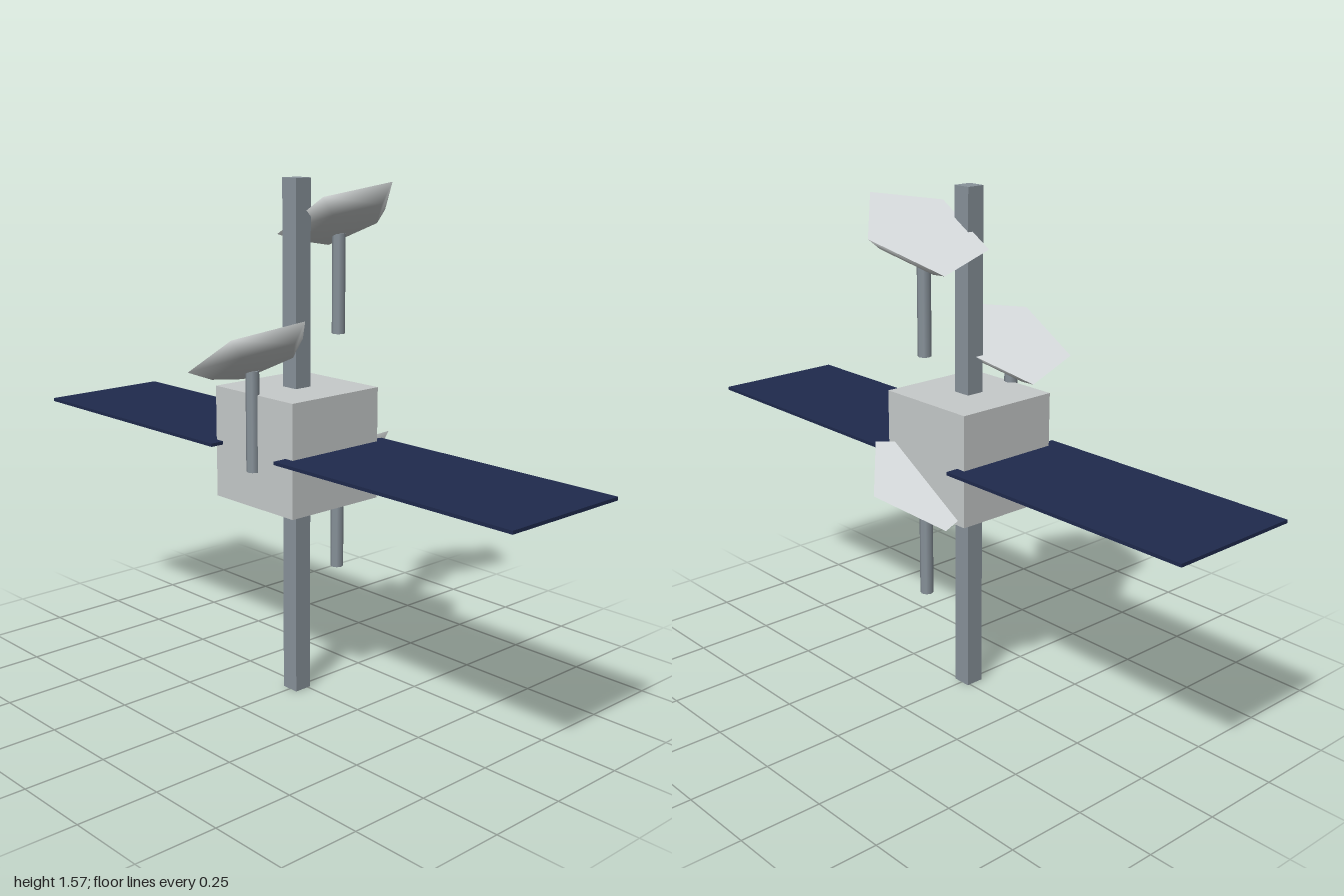
import * as THREE from 'three';

export function createModel() {
  const model = new THREE.Group();
  model.name = 'satellite';

  const material = (name, color) => {
    const m = new THREE.MeshStandardMaterial({ color });
    m.name = name;
    return m;
  };
  const bodyGrey = material('bodyGrey', 0xc6caca);
  const metal = material('metalGrey', 0x88929a);
  const panelBlue = material('panelBlue', 0x1f2a4d);
  const dishWhite = material('dishWhite', 0xdbe0e2);

  const add = (parent, name, geometry, mat, x, y, z) => {
    const mesh = new THREE.Mesh(geometry, mat);
    mesh.name = name;
    mesh.position.set(x, y, z);
    parent.add(mesh);
    return mesh;
  };

  // Square mast running through the cubic body
  add(model, 'mast', new THREE.BoxGeometry(0.058, 1.57, 0.058), metal, -0.02, 0.785, 0);
  add(model, 'body', new THREE.BoxGeometry(0.34, 0.34, 0.34), bodyGrey, -0.02, 0.79, 0);

  // Solar panels, front and back
  for (const side of [1, -1]) {
    add(model, side > 0 ? 'frontPanel' : 'backPanel',
      new THREE.BoxGeometry(0.425, 0.01, 0.86), panelBlue, -0.022, 0.79, side * 0.57);
  }

  // Five-sided dishes, tilted backwards, each on a round post
  const radius = 0.195;
  const bowl = new THREE.SphereGeometry(radius, 5, 2, Math.PI, Math.PI * 2, Math.PI / 2, Math.PI / 2);
  bowl.scale(1, 0.31, 1);
  const lid = new THREE.CircleGeometry(radius, 5).rotateX(-Math.PI / 2);
  const post = new THREE.CylinderGeometry(0.02, 0.02, 0.3, 8);

  const addDish = (name, x, y) => {
    const antenna = new THREE.Group();
    antenna.name = name;
    antenna.position.set(x, y, 0);
    model.add(antenna);
    add(antenna, 'post', post, metal, 0, -0.21, 0);
    const dish = new THREE.Group();
    dish.name = 'dish';
    dish.rotation.x = -0.54;
    antenna.add(dish);
    add(dish, 'bowl', bowl, bodyGrey, 0, 0, 0);
    add(dish, 'dishFace', lid, dishWhite, 0, 0, 0);
  };
  addDish('topAntenna', 0.15, 1.46);
  addDish('middleAntenna', -0.192, 1.09);
  addDish('lowerAntenna', 0.15, 0.72);

  return model;
}
